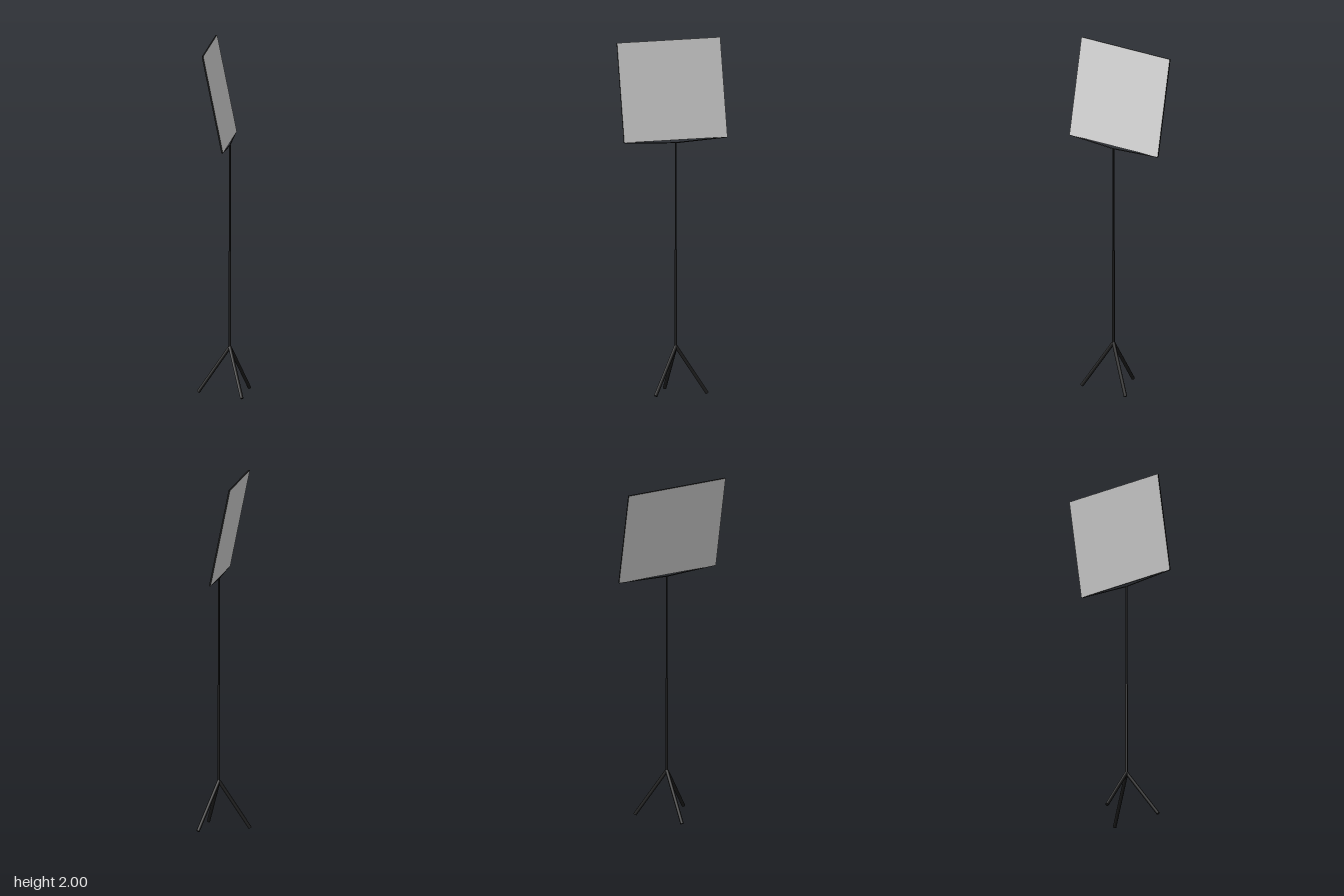
import * as THREE from 'three';

const blackMetal = new THREE.MeshStandardMaterial({ color: 0x1a1a1a });
blackMetal.name = 'black metal';
const panelGrey = new THREE.MeshStandardMaterial({ color: 0xd2d2d2 });
panelGrey.name = 'light grey panel';

// Straight round bar between two points
function bar(name, from, to, radius, sides = 8) {
  const dir = to.clone().sub(from);
  const mesh = new THREE.Mesh(new THREE.CylinderGeometry(radius, radius, dir.length(), sides), blackMetal);
  mesh.name = name;
  mesh.position.copy(from).add(to).multiplyScalar(0.5);
  mesh.quaternion.setFromUnitVectors(new THREE.Vector3(0, 1, 0), dir.normalize());
  return mesh;
}

export function createModel() {
  const model = new THREE.Group();
  model.name = 'panelStand';
  const X = 0.045, Z = 0.03;
  const onAxis = (y) => new THREE.Vector3(X, y, Z);

  // Telescopic pole
  model.add(bar('lowerPole', onAxis(0.26), onAxis(0.82), 0.0075, 12));
  model.add(bar('upperPole', onAxis(0.82), onAxis(1.43), 0.005, 12));

  // Tripod legs
  for (let i = 0; i < 3; i++) {
    const a = (i * Math.PI * 2) / 3;
    const foot = new THREE.Vector3(X + 0.18 * Math.sin(a), 0.006, Z + 0.18 * Math.cos(a));
    model.add(bar('leg' + (i + 1), onAxis(0.27), foot, 0.01));
  }

  // Tilted square panel: grey faces, black rim
  const W = 0.625, H = 0.565, T = 0.009;
  const rim = blackMetal;
  const panel = new THREE.Mesh(new THREE.BoxGeometry(W, H, T), [rim, rim, rim, rim, panelGrey, panelGrey]);
  panel.name = 'panel';
  panel.rotation.set(-0.2, THREE.MathUtils.degToRad(60.7), 0, 'YXZ');
  panel.position.set(-0.0075, 1.722, 0);
  panel.updateMatrix();
  model.add(panel);

  // Shallow V of support arms from the pole top to the lower panel corners
  for (const side of [-1, 1]) {
    const corner = new THREE.Vector3(side * (W / 2 - 0.003), -H / 2, 0).applyMatrix4(panel.matrix);
    model.add(bar(side > 0 ? 'supportArmBack' : 'supportArmFront', onAxis(1.43), corner, 0.003));
  }
  return model;
}
